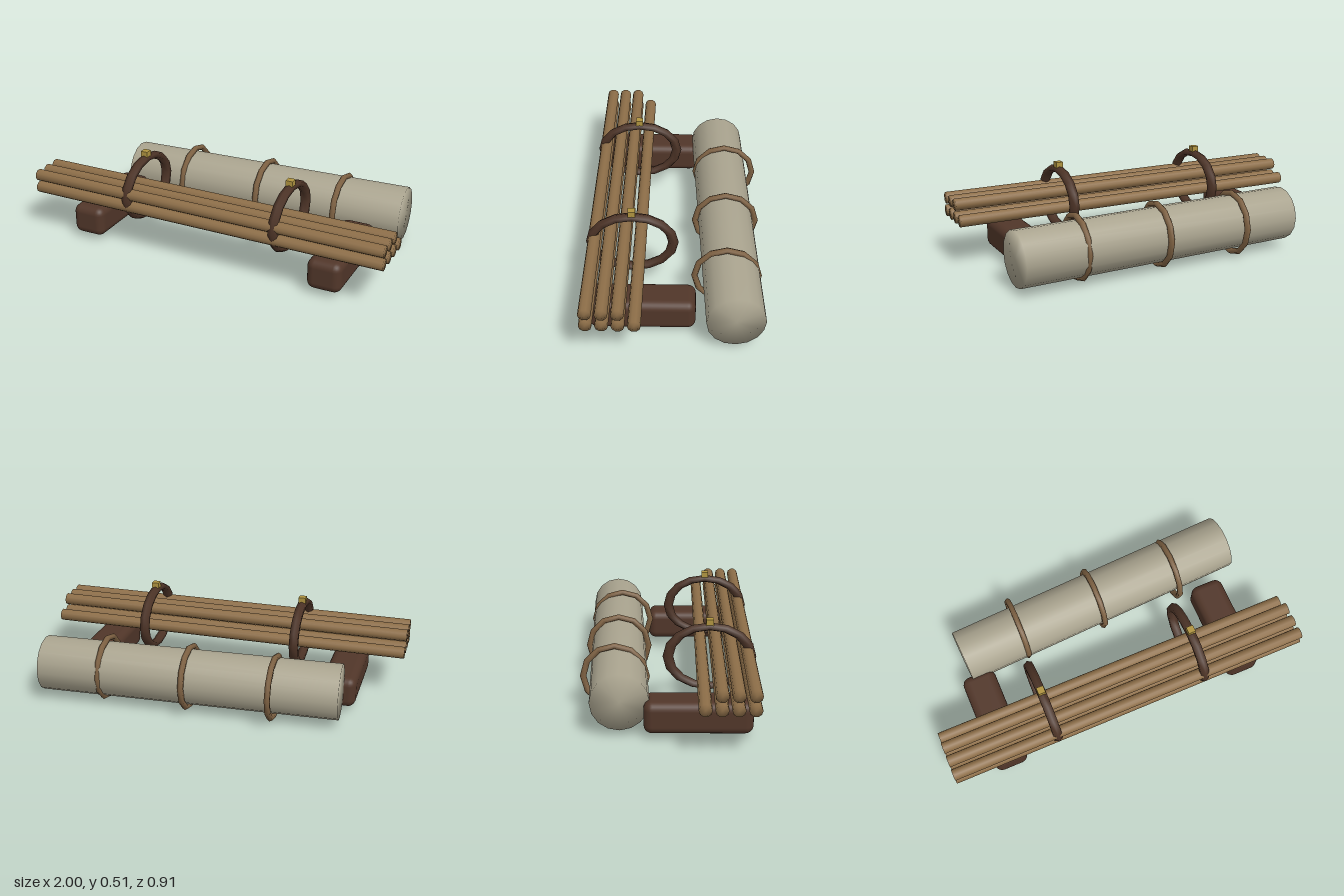
import * as THREE from 'three';
import { mergeVertices } from 'three/addons/utils/BufferGeometryUtils.js';
import { RoundedBoxGeometry } from 'three/addons/geometries/RoundedBoxGeometry.js';

const material = (name, color) => {
  const m = new THREE.MeshStandardMaterial({ color });
  m.name = name;
  return m;
};

// Rod along x whose caps blend softly into the sides
function rodGeometry(radius, length, sides) {
  let g = new THREE.CylinderGeometry(radius, radius, length, sides);
  g.deleteAttribute('uv');
  g.deleteAttribute('normal');
  g = mergeVertices(g, 1e-4);
  g.computeVertexNormals();
  return g.rotateZ(-Math.PI / 2);
}

// Hoop around the x axis, optionally squashed in height
function hoopGeometry(radius, tube, segments, squash = 1) {
  return new THREE.TorusGeometry(radius, tube, 6, segments)
    .rotateY(Math.PI / 2)
    .scale(1, squash, 1);
}

export function createModel() {
  const model = new THREE.Group();
  model.name = 'polesAndBedroll';

  const canvas = material('canvas', 0xaaa48f);
  const wood = material('paleWood', 0x8d6e48);
  const strap = material('strap', 0x7f6243);
  const darkWood = material('darkWood', 0x513629);
  const leather = material('darkLeather', 0x4c3326);
  const brass = material('brass', 0xb09440);

  const add = (name, geometry, mat, x, y, z) => {
    const mesh = new THREE.Mesh(geometry, mat);
    mesh.name = name;
    mesh.position.set(x, y, z);
    model.add(mesh);
    return mesh;
  };

  // Bundle of long poles: three above four
  const pole = rodGeometry(0.032, 2, 10);
  [[0.33, 3], [0.26, 4]].forEach(([y, count]) => {
    for (let i = 0; i < count; i++) add('pole', pole, wood, 0, y, 0.41 - i * 0.077);
  });

  // Mirrored support blocks, oval hoops and buckles
  const block = new RoundedBoxGeometry(0.185, 0.165, 0.535, 3, 0.042);
  const hoop = hoopGeometry(0.211, 0.027, 16, 0.76);
  const buckle = new THREE.BoxGeometry(0.038, 0.036, 0.038);
  for (const side of [-1, 1]) {
    add('supportBlock', block, darkWood, side * 0.692, 0.113, 0.155);
    add('hoop', hoop, leather, side * 0.424, 0.306, 0.216);
    add('buckle', buckle, brass, side * 0.424, 0.49, 0.216);
  }

  // Slightly turned bedroll with three straps
  const roll = add('bedroll', rodGeometry(0.147, 1.61, 16), canvas, 0.075, 0.182, -0.27);
  roll.rotation.y = 0.05;
  const band = hoopGeometry(0.164, 0.0165, 12);
  for (const x of [-0.385, 0.075, 0.535]) add('bedrollStrap', band, strap, x, 0.182, -0.268);

  return model;
}
